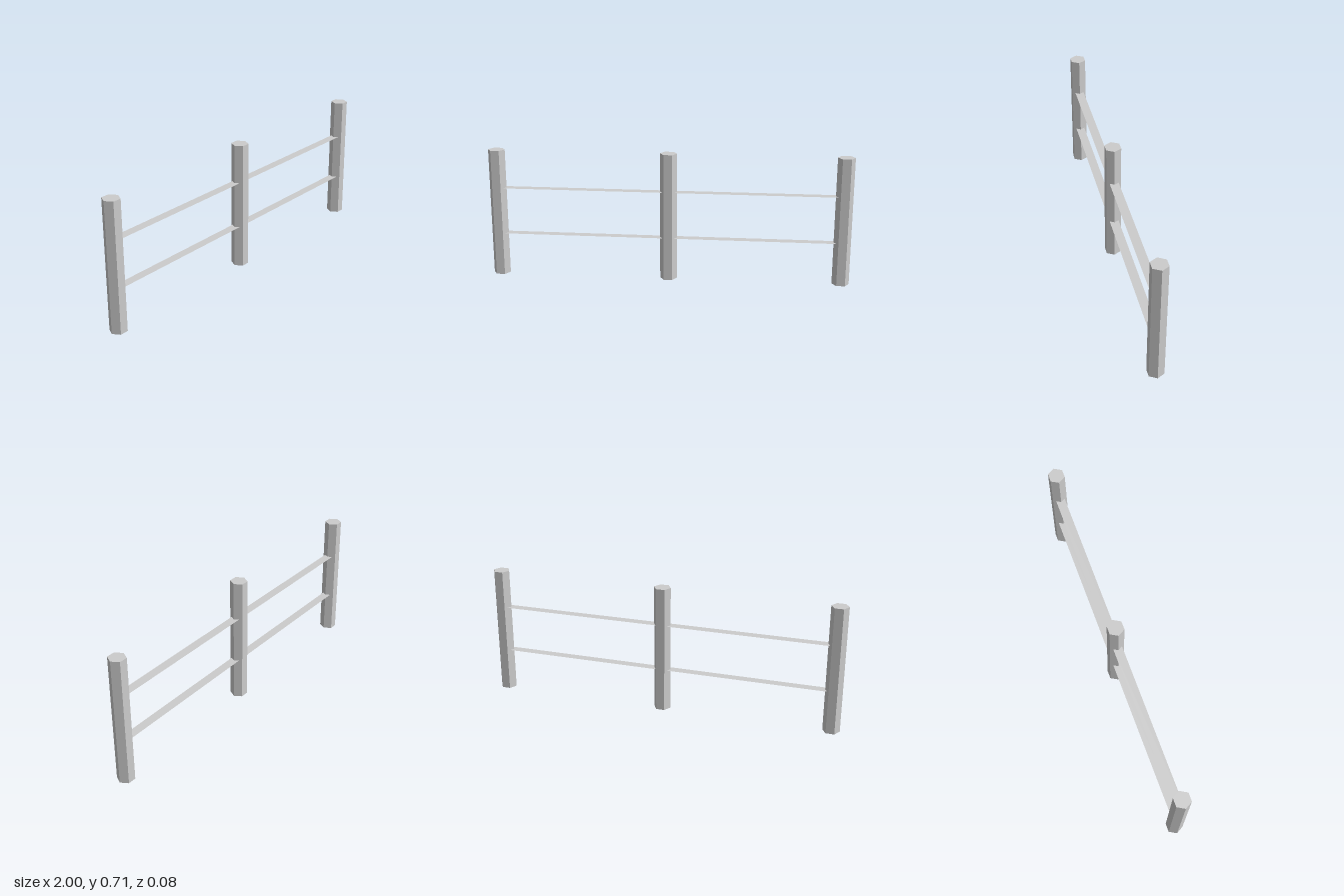
import * as THREE from 'three';

export function createModel() {
  const group = new THREE.Group();
  group.name = 'fence';

  const grey = new THREE.MeshStandardMaterial({ color: 0xcccccc, flatShading: true });
  grey.name = 'grey';
  const railGrey = new THREE.MeshStandardMaterial({ color: 0xcccccc, side: THREE.DoubleSide });
  railGrey.name = 'railGrey';

  const radius = 0.047, height = 0.715, spacing = 1 - radius;

  // Three hexagonal posts, with corners pointing along the fence
  const postGeometry = new THREE.CylinderGeometry(radius, radius, height, 6);
  postGeometry.rotateY(Math.PI / 6).translate(0, height / 2, 0);
  for (const [name, x] of [['rightPost', -spacing], ['middlePost', 0], ['leftPost', spacing]]) {
    const post = new THREE.Mesh(postGeometry, grey);
    post.name = name;
    post.position.x = x;
    group.add(post);
  }

  // Flat horizontal rails between neighbouring posts
  const railGeometry = new THREE.PlaneGeometry(spacing, 0.05).rotateX(-Math.PI / 2);
  for (const [level, y] of [['lower', 0.238], ['upper', 0.5]]) {
    for (const [side, x] of [['Right', -spacing / 2], ['Left', spacing / 2]]) {
      const rail = new THREE.Mesh(railGeometry, railGrey);
      rail.name = level + side + 'Rail';
      rail.position.set(x, y, 0);
      group.add(rail);
    }
  }
  return group;
}
